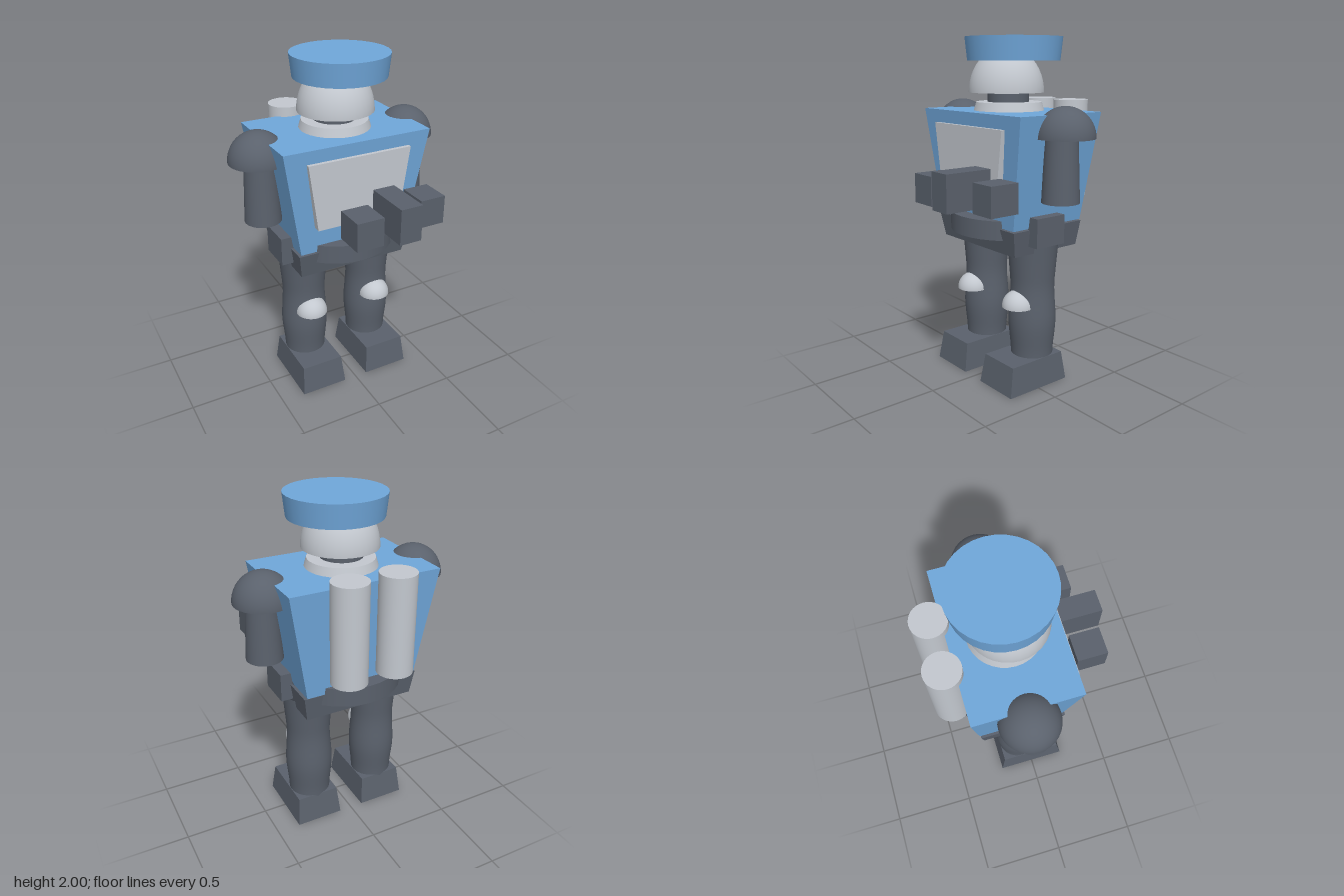
import * as THREE from 'three';

export function createModel() {
  const root = new THREE.Group();
  const mat = (name, color) => {
    const m = new THREE.MeshStandardMaterial({ color });
    m.name = name;
    return m;
  };
  const blue = mat('blue', 0x70a7da);
  const dark = mat('charcoal', 0x5a616c);
  const grey = mat('light grey', 0xc3c8cf);

  const add = (name, geo, material, x = 0, y = 0, z = 0) => {
    const m = new THREE.Mesh(geo, material);
    m.name = name;
    m.position.set(x, y, z);
    root.add(m);
    return m;
  };
  const cyl = (name, m, rTop, rBot, y0, y1, x, z) =>
    add(name, new THREE.CylinderGeometry(rTop, rBot, y1 - y0, 32), m, x, (y0 + y1) / 2, z);
  const box = (name, m, x0, x1, y0, y1, z0, z1) =>
    add(name, new THREE.BoxGeometry(x1 - x0, y1 - y0, z1 - z0), m, (x0 + x1) / 2, (y0 + y1) / 2, (z0 + z1) / 2);

  // Box tapering from a bottom to a top rectangle, each [halfWidth, back, front]
  const taper = (name, m, x, y0, y1, bottom, top) => {
    const g = new THREE.BoxGeometry(2, 1, 1);
    const p = g.attributes.position;
    for (let i = 0; i < p.count; i++) {
      const up = p.getY(i) > 0;
      const [w, back, front] = up ? top : bottom;
      p.setXYZ(i, p.getX(i) * w, up ? y1 : y0, p.getZ(i) > 0 ? front : back);
    }
    g.computeVertexNormals();
    return add(name, g, m, x);
  };

  // Half dome with a closed flat underside
  const dome = (name, m, r, h, x, y, z) => {
    add(name, new THREE.SphereGeometry(r, 32, 12, 0, Math.PI * 2, 0, Math.PI / 2), m, x, y, z).scale.y = h / r;
    add(name + 'Underside', new THREE.CircleGeometry(r, 32).rotateX(Math.PI / 2), m, x, y, z);
  };

  // Body
  taper('torso', blue, 0, 0.965, 1.59, [0.338, -0.325, 0.178], [0.443, -0.367, 0.223]);
  taper('chestPlate', grey, 0, 1.125, 1.515, [0.257, 0.16, 0.235], [0.311, 0.18, 0.24]);
  taper('pelvis', dark, 0, 0.815, 0.96, [0.332, -0.302, 0.162], [0.352, -0.32, 0.187]);
  cyl('belt', dark, 0.347, 0.347, 0.895, 1.005, 0, -0.07);

  // Pouches in front of the chest
  box('rightPouch', dark, -0.157, 0.005, 1.09, 1.256, 0.305, 0.483);
  box('middlePouch', dark, 0.08, 0.214, 1.09, 1.3, 0.235, 0.525);
  box('leftPouch', dark, 0.285, 0.44, 1.09, 1.256, 0.23, 0.41);

  // Head
  cyl('collar', grey, 0.19, 0.207, 1.58, 1.638, 0, -0.067);
  cyl('neck', dark, 0.12, 0.12, 1.6, 1.71, -0.003, -0.065);
  dome('head', grey, 0.217, 0.257, -0.003, 1.692, -0.05);
  cyl('hat', blue, 0.278, 0.264, 1.87, 2.0, 0.036, -0.071);

  // Leg outline from ankle to hip
  const legProfile = new THREE.SplineCurve([
    [0.124, 0.15], [0.127, 0.22], [0.14, 0.38], [0.129, 0.57], [0.136, 0.7], [0.15, 0.86],
  ].map(([r, y]) => new THREE.Vector2(r, y))).getPoints(20);

  // Limbs and paired gear
  for (const [side, s] of [['left', 1], ['right', -1]]) {
    dome(side + 'Shoulder', dark, 0.165, 0.17, s * 0.465, 1.466, -0.072);
    cyl(side + 'Arm', dark, 0.088, 0.105, 1.12, 1.5, s * 0.463, -0.048);
    box(side + 'HipBox', dark, s * 0.36 - 0.05, s * 0.36 + 0.05, 0.865, 1.032, -0.133, 0.07);
    add(side + 'Leg', new THREE.LatheGeometry(legProfile, 32), dark, s * 0.219, 0, -0.068);
    dome(side + 'Knee', grey, 0.095, 0.097, s * 0.219, 0.476, 0.04);
    taper(side + 'Foot', dark, s * 0.219, 0, 0.172, [0.143, -0.215, 0.211], [0.127, -0.19, 0.183]);
    cyl(side + 'Tank', grey, 0.102, 0.102, 1.073, 1.645, s * 0.14, -0.427);
  }
  return root;
}
